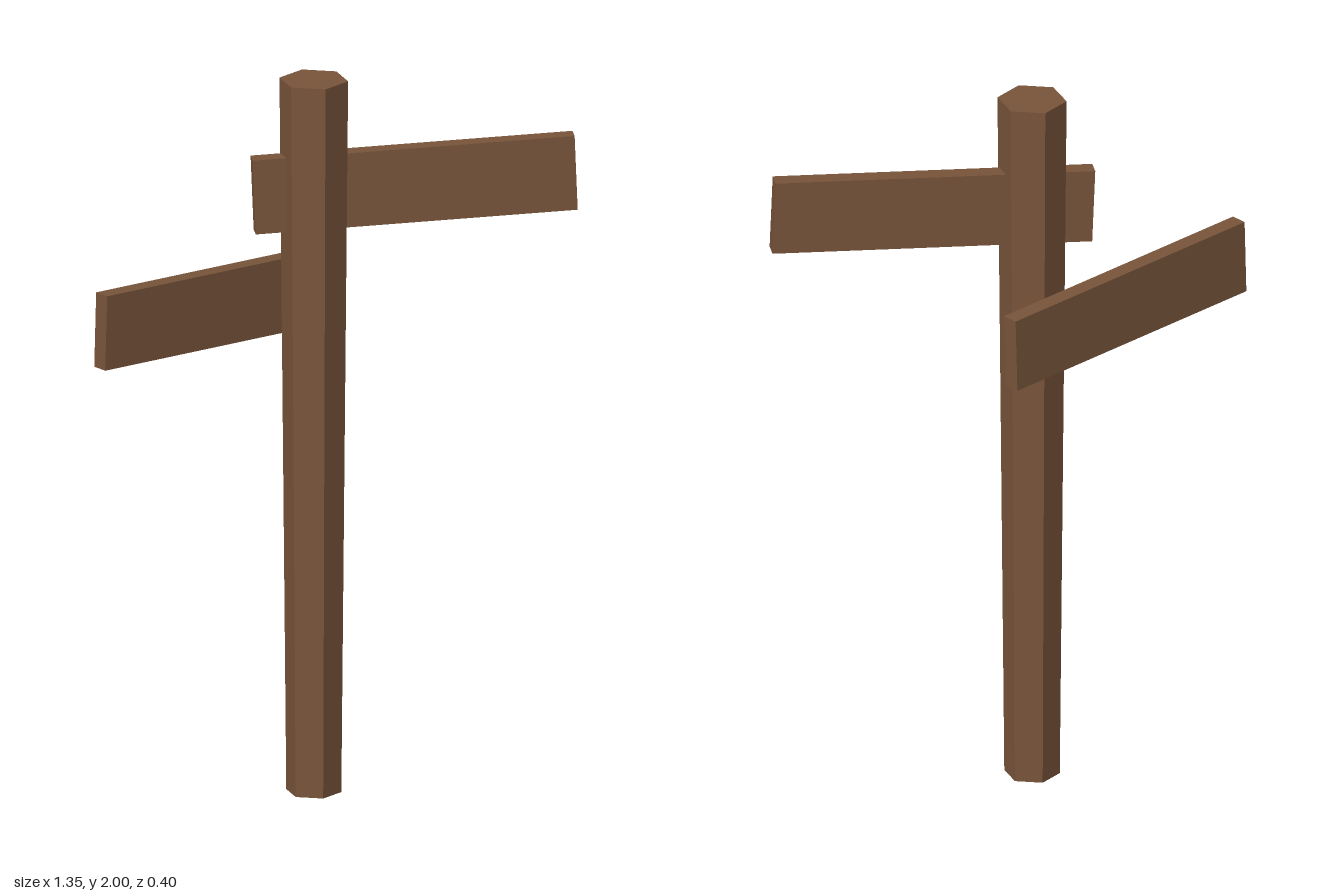
import * as THREE from 'three';

export function createModel() {
  const model = new THREE.Group();
  model.name = 'signpost';

  const wood = new THREE.MeshStandardMaterial({ color: 0x78543a, flatShading: true });
  wood.name = 'brown wood';

  // Six-sided post, slightly wider at the top
  const post = new THREE.Mesh(new THREE.CylinderGeometry(0.0935, 0.075, 2, 6), wood);
  post.name = 'post';
  post.position.set(-0.027, 1, 0.022);
  model.add(post);

  // Plain plank, tilted slightly and then turned about the vertical
  function addBoard(name, length, position, turn, tilt) {
    const board = new THREE.Mesh(new THREE.BoxGeometry(length, 0.208, 0.046), wood);
    board.name = name;
    board.position.set(...position);
    board.rotation.set(0, THREE.MathUtils.degToRad(turn), THREE.MathUtils.degToRad(tilt));
    model.add(board);
  }

  // Upper board passes through the post, lower board rests behind it
  addBoard('upperBoard', 0.87, [0.2385, 1.698, 0.078], -12.5, 2.3);
  addBoard('lowerBoard', 0.831, [-0.2735, 1.372, -0.035], 20, -1.8);

  return model;
}
